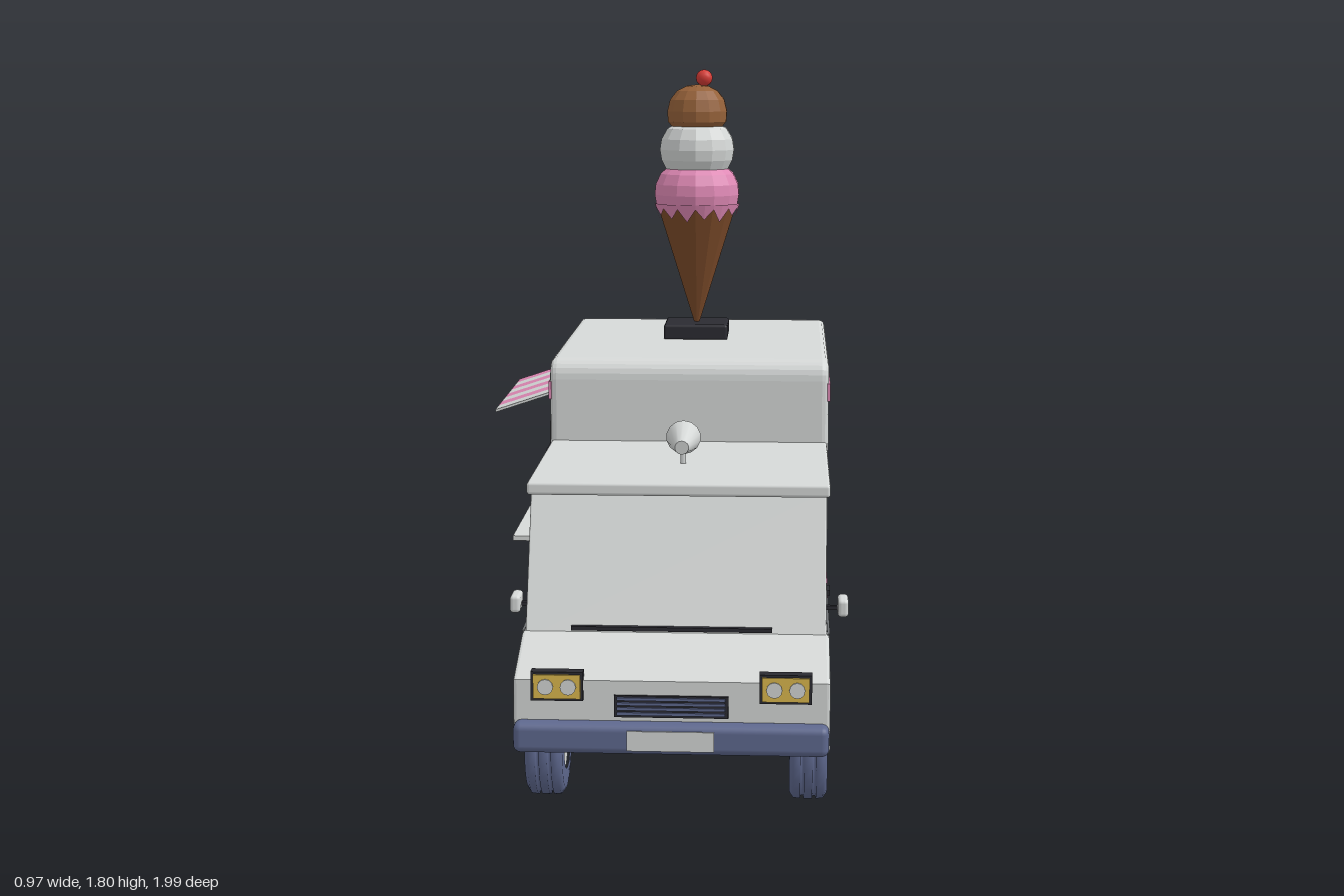
import * as THREE from 'three';
import { RoundedBoxGeometry } from 'three/addons/geometries/RoundedBoxGeometry.js';

const mat = (name, color) => Object.assign(new THREE.MeshStandardMaterial({ color }), { name });

export function createModel() {
  const white = mat('white paint', 0xd6d9d8), pink = mat('pink', 0xe08ab6), navy = mat('navy rubber', 0x5f698f);
  const wafer = mat('wafer brown', 0x7d4c2a), chocolate = mat('chocolate', 0x96623a), red = mat('cherry red', 0xd63c36);
  const black = mat('black', 0x2b2b32), yellow = mat('lamp yellow', 0xdcb94e), grey = mat('seam grey', 0x6c6f72);

  const root = new THREE.Group();
  root.name = 'iceCreamVan';
  const van = new THREE.Group();
  van.name = 'van';
  van.position.x = 0.055;
  root.add(van);

  const add = (name, geo, material, x = 0, y = 0, z = 0, parent = van) => {
    const m = new THREE.Mesh(geo, material);
    m.name = name;
    m.position.set(x, y, z);
    parent.add(m);
    return m;
  };
  // box given by its limits on each axis
  const box = (name, material, [x0, x1], [y0, y1], [z0, z1], round = 0) => {
    const s = [x1 - x0, y1 - y0, z1 - z0];
    const g = round ? new RoundedBoxGeometry(...s, 3, round) : new THREE.BoxGeometry(...s);
    return add(name, g, material, (x0 + x1) / 2, (y0 + y1) / 2, (z0 + z1) / 2);
  };
  // side profile in (z, y), extruded across the width
  const slab = (name, material, shape, width, bevel) => {
    const g = new THREE.ExtrudeGeometry(shape, {
      depth: width - 2 * bevel, bevelEnabled: true, bevelThickness: bevel, bevelSize: bevel,
      bevelOffset: -bevel, bevelSegments: 3, curveSegments: 6,
    });
    g.translate(0, 0, -(width - 2 * bevel) / 2).rotateY(-Math.PI / 2);
    return add(name, g, material);
  };
  const poly = (pts) => new THREE.Shape(pts.map((p) => new THREE.Vector2(...p)));
  const flat = (g) => {
    const n = g.index ? g.toNonIndexed() : g;
    n.computeVertexNormals();
    return n;
  };
  const lathe = (pts, seg) => new THREE.LatheGeometry(pts.map((p) => new THREE.Vector2(...p)), seg);

  // lower cab, upper cab and cab roof
  slab('lowerCab', white, poly([[0, 0.22], [0.95, 0.22], [0.95, 0.39], [0.76, 0.455], [0, 0.455]]), 0.75, 0.008);
  slab('upperCab', white, poly([[0, 0.44], [0.757, 0.44], [0.605, 0.78], [0, 0.78]]), 0.735, 0.004);
  box('cabRoof', white, [-0.376, 0.376], [0.77, 0.802], [0.03, 0.635], 0.008);
  box('windscreenWiper', black, [-0.255, 0.235], [0.46, 0.47], [0.745, 0.76]);

  // cargo box with rounded roof edges
  const r = 0.055, b = new THREE.Shape();
  b.moveTo(-0.925, 0.22);
  b.lineTo(0.04, 0.22);
  b.lineTo(0.04, 1.025 - r);
  b.quadraticCurveTo(0.04, 1.025, 0.04 - r, 1.025);
  b.lineTo(-0.925 + r, 1.025);
  b.quadraticCurveTo(-0.925, 1.025, -0.925, 1.025 - r);
  slab('cargoBox', white, b, 0.76, 0.018);

  // details repeated on both sides
  for (const s of [-1, 1]) {
    const span = (a, c) => (s > 0 ? [a, c] : [-c, -a]);
    for (const y of [[0.915, 0.963], [0.34, 0.388]]) box('sideStripe', pink, span(0.376, 0.384), y, [-0.89, 0.035]);
    // door seams and handle
    box('doorSeamLower', grey, span(0.372, 0.377), [0.303, 0.308], [0.09, 0.605]);
    for (const z of [0.09, 0.602]) box('doorSeamUpright', grey, span(0.372, 0.377), [0.305, 0.455], [z - 0.0025, z + 0.0025]);
    box('beltSeam', grey, span(0.37, 0.3765), [0.452, 0.457], [0.05, 0.75]);
    box('doorHandle', black, span(0.37, 0.386), [0.413, 0.427], [0.128, 0.19]);
    // wing mirror
    box('mirrorArm', black, span(0.37, 0.41), [0.472, 0.482], [0.56, 0.572]);
    box('wingMirror', white, span(0.398, 0.425), [0.46, 0.505], [0.53, 0.605], 0.01);
    // headlamps
    box('headlampFrame', black, span(0.208, 0.332), [0.342, 0.412], [0.93, 0.96]);
    box('headlampLens', yellow, span(0.214, 0.326), [0.348, 0.406], [0.955, 0.965]);
    for (const x of [0.243, 0.297]) {
      add('headlampBulb', new THREE.CylinderGeometry(0.019, 0.019, 0.006, 12).rotateX(Math.PI / 2), white, s * x, 0.377, 0.966);
    }
    // tail lamps
    box('tailLamp', pink, span(0.285, 0.345), [0.42, 0.5], [-0.955, -0.935]);
    box('reverseLamp', white, span(0.297, 0.333), [0.43, 0.452], [-0.959, -0.95]);
  }

  // grille, bumpers and plates
  box('grille', black, [-0.135, 0.135], [0.303, 0.356], [0.94, 0.956]);
  for (let i = 0; i < 4; i++) box('grilleBar', navy, [-0.128, 0.128], [0.309 + i * 0.012, 0.316 + i * 0.012], [0.95, 0.961]);
  box('frontBumper', navy, [-0.373, 0.373], [0.22, 0.293], [0.935, 0.99], 0.018);
  box('frontPlate', white, [-0.103, 0.103], [0.232, 0.28], [0.985, 0.993]);
  box('rearBumper', navy, [-0.373, 0.373], [0.22, 0.293], [-0.98, -0.92], 0.018);
  box('rearPlate', white, [-0.103, 0.103], [0.232, 0.28], [-0.983, -0.975]);
  add('exhaustPipe', new THREE.CylinderGeometry(0.011, 0.011, 0.12, 10).rotateX(Math.PI / 2), grey, -0.195, 0.207, -0.94);

  // rear doors
  box('rearDoorSeam', grey, [-0.342, 0.342], [0.25, 0.943], [-0.93, -0.92]);
  box('rearDoor', white, [-0.336, 0.336], [0.256, 0.937], [-0.94, -0.92]);

  // serving hatch: panel, frame, shelf
  box('hatchPanel', white, [-0.386, -0.378], [0.51, 0.83], [-0.63, -0.08]);
  for (const y of [0.505, 0.822]) box('hatchFrameRail', black, [-0.392, -0.375], [y, y + 0.014], [-0.64, -0.07]);
  for (const z of [-0.64, -0.084]) box('hatchFramePost', black, [-0.392, -0.375], [0.505, 0.836], [z, z + 0.014]);
  box('servingShelf', white, [-0.5, -0.37], [0.492, 0.506], [-0.63, -0.08]);

  // striped awning sloping outwards
  const awning = new THREE.Group();
  awning.name = 'awning';
  awning.position.set(-0.459, 0.893, 0);
  awning.rotation.z = Math.atan2(0.055, 0.165);
  van.add(awning);
  for (let i = 0; i < 8; i++) {
    add('awningStripe', new THREE.BoxGeometry(0.174, 0.007, 0.0715), i % 2 ? white : pink, 0, 0, -0.594 + i * 0.0715, awning);
  }

  // menu board with little pictures
  box('menuBoard', black, [-0.388, -0.377], [0.62, 0.78], [-0.05, 0.075]);
  [pink, white, chocolate, white, yellow, pink].forEach((m, i) => {
    const z = -0.025 + (i % 3) * 0.037, y = 0.66 + Math.floor(i / 3) * 0.07;
    box('menuPicture', m, [-0.392, -0.386], [y - 0.02, y + 0.02], [z - 0.009, z + 0.009]);
  });

  // wheels: grooved tyre, rim and five spokes, outer face towards +x
  const tyre = lathe([[0.08, -0.047], [0.128, -0.047], [0.143, -0.037], [0.145, -0.02], [0.137, -0.018], [0.137, -0.012],
    [0.145, -0.01], [0.145, 0.01], [0.137, 0.012], [0.137, 0.018], [0.145, 0.02], [0.143, 0.037], [0.128, 0.047],
    [0.086, 0.047], [0.08, 0.03]], 28).rotateZ(-Math.PI / 2);
  const rimLip = lathe([[0.073, 0.02], [0.084, 0.02], [0.084, 0.046], [0.073, 0.046], [0.073, 0.02]], 28).rotateZ(-Math.PI / 2);
  for (const s of [-1, 1]) for (const z of [0.62, -0.58]) {
    const w = new THREE.Group();
    w.name = 'wheel';
    w.position.set(s * 0.327, 0.147, z);
    if (s < 0) w.rotation.y = Math.PI;
    van.add(w);
    add('tyre', tyre, navy, 0, 0, 0, w);
    add('rimLip', rimLip, white, 0, 0, 0, w);
    add('rimBack', new THREE.CylinderGeometry(0.081, 0.081, 0.06, 24).rotateZ(Math.PI / 2), white, -0.012, 0, 0, w);
    add('rimWell', new THREE.CylinderGeometry(0.074, 0.074, 0.004, 24).rotateZ(Math.PI / 2), grey, 0.02, 0, 0, w);
    add('hub', new THREE.CylinderGeometry(0.024, 0.024, 0.03, 12).rotateZ(Math.PI / 2), white, 0.028, 0, 0, w);
    for (let i = 0; i < 5; i++) {
      const spoke = new THREE.BoxGeometry(0.02, 0.07, 0.034).translate(0, 0.043, 0);
      add('spoke', spoke, white, 0.03, 0, 0, w).rotation.x = (i * 2 * Math.PI) / 5;
    }
  }

  // loudspeaker horn on the cab roof
  const horn = new THREE.CylinderGeometry(0.018, 0.045, 0.1, 14).rotateX(Math.PI / 2);
  add('horn', horn, white, 0, 0.862, 0.39).rotation.x = 0.1;
  add('hornPost', new THREE.CylinderGeometry(0.007, 0.007, 0.06, 8), white, 0, 0.82, 0.36);

  // giant ice cream on the roof
  const ice = new THREE.Group();
  ice.name = 'iceCream';
  ice.position.z = -0.485;
  van.add(ice);
  add('coneBase', new RoundedBoxGeometry(0.185, 0.045, 0.185, 2, 0.008), black, 0, 1.045, 0, ice);
  add('waferCone', flat(new THREE.CylinderGeometry(0.12, 0.006, 0.36, 14)), wafer, 0, 1.24, 0, ice);
  const scoop = (name, m, pts) => add(name, flat(lathe(pts, 14)), m, 0, 0, 0, ice);
  scoop('strawberryScoop', pink, [[0, 1.405], [0.119, 1.405], [0.125, 1.44], [0.122, 1.47], [0.108, 1.5], [0.086, 1.52], [0, 1.53]]);
  scoop('vanillaScoop', white, [[0, 1.505], [0.09, 1.51], [0.105, 1.54], [0.11, 1.57], [0.105, 1.6], [0.088, 1.63], [0.06, 1.645], [0, 1.65]]);
  scoop('chocolateScoop', chocolate, [[0, 1.625], [0.07, 1.63], [0.086, 1.65], [0.088, 1.68], [0.08, 1.713], [0.06, 1.738], [0.032, 1.752], [0, 1.756]]);
  add('cherry', new THREE.SphereGeometry(0.024, 12, 8), red, 0.02, 1.775, 0.005, ice);

  // melted drips around the cone rim
  const drips = new THREE.CylinderGeometry(0.121, 0.121, 0.04, 28, 1, true);
  const p = drips.attributes.position;
  for (let i = 0; i < p.count; i++) {
    const low = p.getY(i) < 0, k = i % 29;
    const y = low ? (k % 2 ? 1.365 + (k % 3) * 0.008 : 1.402) : 1.415;
    const rad = 0.006 + (0.114 * (y - 1.06)) / 0.36 + 0.006, a = (k / 28) * Math.PI * 2;
    p.setXYZ(i, Math.sin(a) * rad, y, Math.cos(a) * rad);
  }
  add('drips', flat(drips), pink, 0, 0, 0, ice);

  return root;
}
